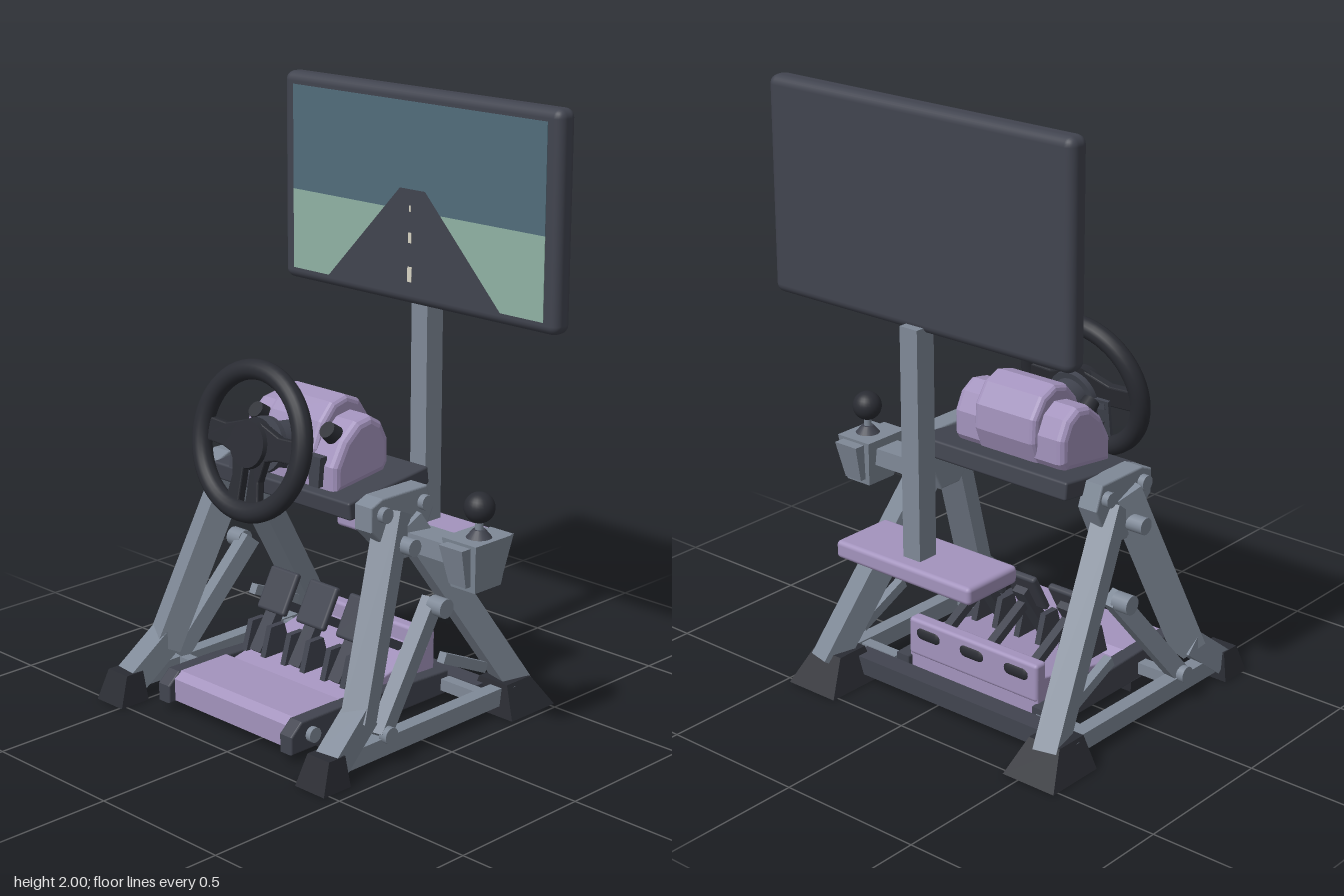
import * as THREE from 'three';
import { RoundedBoxGeometry } from 'three/addons/geometries/RoundedBoxGeometry.js';

const mat = (color, opts = {}) => {
  const m = new THREE.MeshStandardMaterial({ color });
  return Object.assign(m, opts);
};
const PURPLE = mat(0xa393bd), METAL = mat(0x7f8997), DARK = mat(0x41444f), BLACK = mat(0x2a2c33);
const CX = -0.08; // middle of the stand

export function createModel() {
  const root = new THREE.Group();

  const add = (name, geo, material, x = 0, y = 0, z = 0, parent = root) => {
    const m = new THREE.Mesh(geo, material);
    m.name = name;
    m.position.set(x, y, z);
    parent.add(m);
    return m;
  };
  const box = (w, h, d) => new THREE.BoxGeometry(w, h, d);
  const rbox = (w, h, d, r) => new RoundedBoxGeometry(w, h, d, 3, r);
  // Box whose top face is scaled and shifted
  const taper = (w, h, d, sx, sz, shift = 0) => {
    const g = box(w, h, d), p = g.attributes.position;
    for (let i = 0; i < p.count; i++) {
      if (p.getY(i) > 0) p.setXYZ(i, p.getX(i) * sx, p.getY(i), p.getZ(i) * sz + shift);
    }
    g.computeVertexNormals();
    return g;
  };
  // Square tube between two points
  const bar = (name, a, b, w, h, material = METAL, parent = root) => {
    const A = new THREE.Vector3(...a), B = new THREE.Vector3(...b);
    const m = new THREE.Mesh(box(w, h, A.distanceTo(B)), material);
    m.name = name;
    m.position.copy(A).lerp(B, 0.5);
    m.lookAt(B);
    parent.add(m);
    return m;
  };
  // Bolt lying along x
  const bolt = (x, y, z, r = 0.028, len = 0.03) => {
    add('bolt', new THREE.CylinderGeometry(r, r, len, 16), METAL, x, y, z).rotation.z = Math.PI / 2;
  };
  const polygon = pts => new THREE.Shape(pts.map(p => new THREE.Vector2(...p)));
  // Side profile given as [z, y], swept along x
  const sideExtrude = (pts, width, bevel) => {
    const g = new THREE.ExtrudeGeometry(polygon(pts.map(([z, y]) => [-z, y])), {
      depth: width - 2 * bevel, bevelEnabled: bevel > 0, bevelSize: bevel, bevelThickness: bevel,
      bevelOffset: -bevel, bevelSegments: 3 });
    return g.translate(0, 0, -(width - 2 * bevel) / 2).rotateY(Math.PI / 2);
  };

  // Screen with a road picture
  add('screenBody', rbox(1.2, 0.7, 0.08, 0.03), DARK, 0, 1.65, -0.372);
  add('screenSky', box(1.1, 0.35, 0.004), mat(0x516d7b), 0, 1.785, -0.332);
  add('screenGrass', box(1.1, 0.27, 0.004), mat(0x90b2a4), 0, 1.475, -0.332);
  const road = polygon([[-0.38, 1.34], [0.38, 1.34], [0.055, 1.68], [-0.055, 1.68]]);
  add('screenRoad', new THREE.ShapeGeometry(road), DARK, 0, 0, -0.326);
  for (const [y, w, h] of [[1.405, 0.018, 0.05], [1.525, 0.012, 0.034], [1.62, 0.006, 0.02]])
    add('roadDash', box(w, h, 0.002), mat(0xd8d4c4), 0, y, -0.316);
  add('screenPost', box(0.07, 0.78, 0.075), METAL, 0, 0.93, -0.402);
  add('rearShelf', rbox(0.56, 0.06, 0.23, 0.015), PURPLE, 0, 0.53, -0.375);

  // Side frames
  for (const s of [-1, 1]) {
    const X = d => CX + s * d;
    add('frontFoot', taper(0.125, 0.1, 0.115, 0.75, 0.6, -0.015), BLACK, X(0.472), 0.05, 0.463);
    add('rearFoot', taper(0.2, 0.11, 0.21, 0.6, 0.55, 0.03), BLACK, X(0.46), 0.055, -0.415);
    const knee = [X(0.455), 0.18, 0.28];
    bar('frontLegLower', [X(0.472), 0.06, 0.43], knee, 0.085, 0.085);
    bar('frontLegUpper', [knee[0], 0.15, 0.295], [X(0.365), 0.76, 0.05], 0.085, 0.09);
    bar('rearLeg', [X(0.47), 0.07, -0.43], [X(0.365), 0.72, 0.0], 0.08, 0.09);
    bar('bottomRail', [X(0.475), 0.06, 0.42], [X(0.475), 0.065, -0.4], 0.05, 0.06);
    bar('brace', [X(0.475), 0.09, 0.22], [X(0.425), 0.45, -0.07], 0.05, 0.06);
    bar('shortStrut', [X(0.44), 0.16, -0.3], [X(0.44), 0.25, -0.1], 0.03, 0.035);
    bolt(X(0.505), 0.1, 0.21);
    bolt(X(0.465), 0.44, -0.06, 0.032, 0.06);
    bolt(X(0.43), 0.66, 0.05, 0.028, 0.06);
    bolt(X(0.51), 0.07, -0.36);
    // Bracket joining the leg to the table
    const bracket = sideExtrude([[0.17, 0.72], [0.17, 0.8], [0.12, 0.82], [-0.08, 0.82],
      [-0.11, 0.74], [-0.04, 0.6], [0.05, 0.6]], 0.075, 0.006);
    add('tableBracket', bracket, METAL, X(0.35));
    bolt(X(0.395), 0.77, 0.12, 0.025);
    bolt(X(0.395), 0.77, -0.06, 0.025);
    bar('frontSpacer', [X(0.3), 0.07, 0.21], [X(0.48), 0.07, 0.21], 0.04, 0.04);
    bar('rearSpacer', [X(0.3), 0.07, -0.27], [X(0.48), 0.07, -0.27], 0.04, 0.04);
  }
  bar('rearCrossBar', [CX - 0.42, 0.06, -0.33], [CX + 0.42, 0.06, -0.33], 0.07, 0.06, DARK);

  // Table
  add('table', rbox(0.625, 0.06, 0.36, 0.008), DARK, -0.09, 0.79, 0).rotation.x = 0.12;

  // Wheel base: tall centre and two lower side lobes
  const centre = [[0.13, 0.8], [0.135, 0.92], [0.1, 1.0], [0.05, 1.055], [-0.01, 1.07],
    [-0.07, 1.045], [-0.115, 0.98], [-0.12, 0.9], [-0.09, 0.82]];
  const lobe = [[0.145, 0.79], [0.145, 0.88], [0.1, 0.96], [0.04, 1.01], [-0.02, 1.02],
    [-0.07, 0.99], [-0.1, 0.93], [-0.1, 0.85], [-0.08, 0.82]];
  add('wheelBaseCentre', sideExtrude(centre, 0.25, 0.02), PURPLE, -0.1);
  add('wheelBaseSides', sideExtrude(lobe, 0.45, 0.025), PURPLE, -0.1);
  for (const s of [-1, 1]) {
    const knob = add('baseKnob', new THREE.CylinderGeometry(0.028, 0.034, 0.05, 20), BLACK, -0.1 + s * 0.163, 0.975, 0.1);
    knob.rotation.x = 0.9;
    add('baseClamp', taper(0.04, 0.1, 0.03, 1.5, 1), DARK, -0.1 + s * 0.15, 0.86, 0.15);
  }

  // Steering wheel, tilted back
  const wheel = new THREE.Group();
  wheel.name = 'steeringWheel';
  wheel.position.set(-0.1, 0.955, 0.29);
  wheel.rotation.x = -0.21;
  root.add(wheel);
  add('wheelRim', new THREE.TorusGeometry(0.225, 0.033, 16, 56), BLACK, 0, 0, 0, wheel);
  const plate = pts => new THREE.ExtrudeGeometry(polygon(pts), { depth: 0.02, bevelSize: 0.005, bevelThickness: 0.005, bevelSegments: 2 });
  for (const s of [-1, 1]) {
    const side = [[0.03, -0.06], [0.12, -0.035], [0.22, -0.03], [0.22, 0.035], [0.12, 0.03], [0.03, 0.06]];
    const low = [[0.02, -0.03], [0.02, -0.22], [0.07, -0.21], [0.055, -0.12], [0.075, -0.03]];
    for (const [name, pts] of [['sideSpoke', side], ['lowerSpoke', low]]) {
      const p = pts.map(([x, y]) => [x * s, y]);
      add(name, plate(s < 0 ? p.reverse() : p), BLACK, 0, 0, -0.02, wheel);
    }
    add('shiftPaddle', taper(0.035, 0.13, 0.012, 1.5, 1), DARK, s * 0.13, -0.05, -0.07, wheel);
    bar('paddleArm', [0, -0.02, -0.07], [s * 0.14, 0, -0.07], 0.015, 0.03, DARK, wheel).lookAt(
      wheel.localToWorld(new THREE.Vector3(s, 0.1, -0.07)));
  }
  const disc = (name, r1, r2, len, z, m) => {
    add(name, new THREE.CylinderGeometry(r1, r2, len, 32), m, 0, -0.01, z, wheel).rotation.x = Math.PI / 2;
  };
  disc('wheelHub', 0.075, 0.085, 0.04, 0, BLACK);
  disc('hubFlange', 0.09, 0.09, 0.02, -0.06, DARK);
  disc('steeringColumn', 0.065, 0.08, 0.16, -0.11, DARK);

  // Gear shifter on its side arm
  bar('shifterArm', [0.27, 0.66, -0.03], [0.5, 0.66, -0.03], 0.1, 0.06);
  add('shifterBox', taper(0.1, 0.16, 0.12, 1.4, 1.35), METAL, 0.55, 0.64, -0.042);
  add('shifterFlange', taper(0.07, 0.13, 0.17, 1.35, 1.4), METAL, 0.55, 0.645, -0.042);
  add('shifterBoot', new THREE.CylinderGeometry(0.02, 0.045, 0.03, 20), DARK, 0.56, 0.73, -0.042);
  add('shifterStick', new THREE.CylinderGeometry(0.013, 0.013, 0.1, 12), METAL, 0.56, 0.75, -0.042);
  add('shifterKnob', new THREE.SphereGeometry(0.049, 24, 16), BLACK, 0.56, 0.815, -0.042);

  // Pedal unit
  const PX = -0.1;
  for (const s of [-1, 1]) {
    add('pedalRail', sideExtrude([[0.425, 0.03], [0.425, 0.09], [0.38, 0.13], [0.2, 0.13], [-0.29, 0.11], [-0.29, 0.03]],
      0.055, 0.006), DARK, PX + s * 0.288);
    bolt(PX + s * 0.32, 0.08, 0.34, 0.025);
    add('pedalFootPad', box(0.06, 0.035, 0.12), BLACK, PX + s * 0.288, 0.018, 0.21);
  }
  add('pedalBase', sideExtrude([[0.4, 0.035], [0.4, 0.11], [0.37, 0.13], [0.17, 0.13], [0.14, 0.11], [-0.27, 0.2],
    [-0.27, 0.035]], 0.54, 0.006), PURPLE, PX);
  add('pedalBackPanel', rbox(0.54, 0.13, 0.05, 0.012), PURPLE, PX, 0.18, -0.25);
  for (const i of [-1, 0, 1]) {
    const x = PX + i * 0.185;
    const vent = add('backVent', new THREE.CapsuleGeometry(0.025, 0.06, 4, 12), BLACK, x, 0.2, -0.266);
    vent.rotation.z = Math.PI / 2;
    vent.scale.z = 0.6;
    for (const s of [-1, 1]) add('pedalMount', taper(0.022, 0.1, 0.12, 1, 0.5), DARK, x + s * 0.045, 0.19, 0.06);
    bar('pedalArm', [x, 0.14, 0.1], [x, 0.34, -0.03], 0.05, 0.035, DARK);
    bar('pedalSpring', [x, 0.28, -0.02], [x, 0.18, -0.2], 0.03, 0.03, DARK);
    add('pedalPad', rbox(0.13, 0.15, 0.025, 0.01), DARK, x, 0.33, 0.0).rotation.x = -0.5;
  }
  return root;
}
